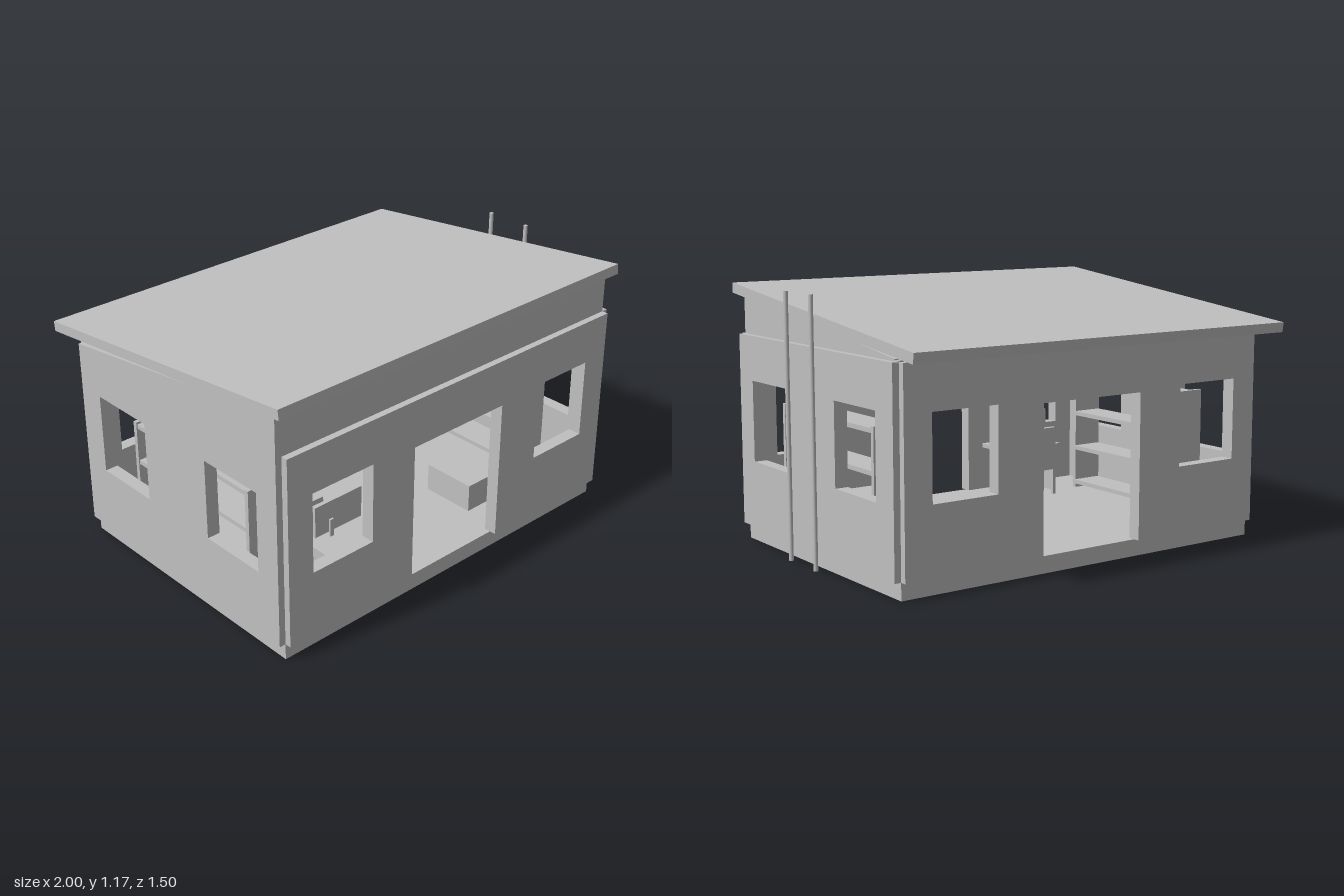
import * as THREE from 'three';

const concrete = new THREE.MeshStandardMaterial({ color: 0xc0c0c0 });
concrete.name = 'light grey';

// Wall footprint
const X0 = -0.96, X1 = 0.91, Z0 = -0.58, Z1 = 0.71;
const FLOOR = 0.075, EAVE = 0.94, BACK_TOP = 0.945, FRONT_TOP = 1.12, T = 0.03;
const SILL = 0.375, HEAD = 0.74;

export function createModel() {
  const model = new THREE.Group();
  model.name = 'cabin';

  const add = (name, geometry, parent = model) => {
    const mesh = new THREE.Mesh(geometry, concrete);
    mesh.name = name;
    parent.add(mesh);
    return mesh;
  };

  // Box given by its lower and upper limits on each axis
  const box = (name, x0, x1, y0, y1, z0, z1, parent) =>
    add(name, new THREE.BoxGeometry(x1 - x0, y1 - y0, z1 - z0), parent)
      .position.set((x0 + x1) / 2, (y0 + y1) / 2, (z0 + z1) / 2);

  const outline = (points) => new THREE.Shape(points.map(([x, y]) => new THREE.Vector2(x, y)));

  const cutWindow = (shape, a, b) => {
    shape.holes.push(new THREE.Path([[a, SILL], [a, HEAD], [b, HEAD], [b, SILL]]
      .map(([x, y]) => new THREE.Vector2(x, y))));
  };

  const extrude = (shape) => new THREE.ExtrudeGeometry(shape, { depth: T, bevelEnabled: false });

  // Front or back wall: a doorway and two windows
  const longWall = (name, x0, x1, top, z) => {
    const shape = outline([[x0, FLOOR], [-0.285, FLOOR], [-0.285, 0.725], [0.235, 0.725],
      [0.235, FLOOR], [x1, FLOOR], [x1, top], [x0, top]]);
    cutWindow(shape, -0.835, -0.515);
    cutWindow(shape, 0.465, 0.78);
    add(name, extrude(shape)).position.z = z;
  };

  // Side wall: two windows, drawn along z and turned to face x
  const sideWall = (name, z0, z1, backTop, frontTop, x) => {
    const shape = outline([[z0, FLOOR], [z1, FLOOR], [z1, frontTop], [z0, backTop]]);
    cutWindow(shape, -0.45, -0.13);
    cutWindow(shape, 0.27, 0.59);
    add(name, extrude(shape).rotateY(-Math.PI / 2)).position.x = x + T;
  };

  box('foundation', X0, X1, 0, FLOOR, Z0, Z1);

  // Inner walls
  longWall('frontWall', X0, X1, FRONT_TOP, Z1 - T);
  longWall('backWall', X0, X1, BACK_TOP, Z0);
  sideWall('rightWall', Z0 + T, Z1 - T, BACK_TOP + 0.004, FRONT_TOP - 0.004, X0);
  sideWall('leftWall', Z0 + T, Z1 - T, BACK_TOP + 0.004, FRONT_TOP - 0.004, X1 - T);

  // Outer cladding, leaving a notch at each corner
  longWall('frontCladding', X0, X1, EAVE, Z1);
  longWall('backCladding', X0, X1, EAVE, Z0 - T);
  sideWall('rightCladding', Z0, Z1, BACK_TOP, FRONT_TOP, X0 - T);
  sideWall('leftCladding', Z0, Z1, EAVE, EAVE, X1);

  // Sloping roof slab
  const roof = add('roof', new THREE.BoxGeometry(1.95, 0.045, 1.5));
  roof.position.set(-0.025, 1.058, 0);
  roof.rotation.x = -0.115;

  // Service poles beside the wall
  for (const z of [0.173, -0.04]) {
    add('pole', new THREE.CylinderGeometry(0.01, 0.01, 1.15, 12)).position.set(0.988, 0.592, z);
  }

  // Shelf racks along both side walls
  for (const side of [-1, 1]) {
    const rack = new THREE.Group();
    rack.name = 'shelfRack';
    rack.position.x = -0.026;
    model.add(rack);
    const span = (a, b) => (side > 0 ? [a, b] : [-b, -a]);
    for (const z of [-0.315, 0.43]) {
      box('rackEnd', ...span(0.743, 0.893), FLOOR, 0.65, z, z + 0.02, rack);
    }
    for (let i = 0; i < 4; i++) {
      const y = 0.095 + i * 0.175;
      box('shelf', ...span(0.737, 0.888), y, y + 0.02, -0.31, 0.445, rack);
    }
  }

  // Desk with a screen
  box('deskTop', -0.66, -0.34, 0.295, 0.315, 0.42, 0.64);
  for (const x of [-0.65, -0.4]) box('deskSide', x, x + 0.02, FLOOR, 0.295, 0.44, 0.62);
  box('screen', -0.63, -0.373, 0.335, 0.48, 0.5, 0.52);
  box('screenStand', -0.555, -0.535, 0.315, 0.395, 0.52, 0.53);

  // Chair tucked under the desk
  box('chairSeat', -0.59, -0.47, 0.2, 0.22, 0.365, 0.49);
  box('chairBack', -0.59, -0.47, 0.22, 0.41, 0.365, 0.39);
  for (const x of [-0.59, -0.485]) {
    for (const z of [0.365, 0.475]) box('chairLeg', x, x + 0.015, FLOOR, 0.2, z, z + 0.015);
  }

  // Low chest on the floor
  box('chest', 0.285, 0.54, FLOOR, 0.206, 0.273, 0.53);

  return model;
}
